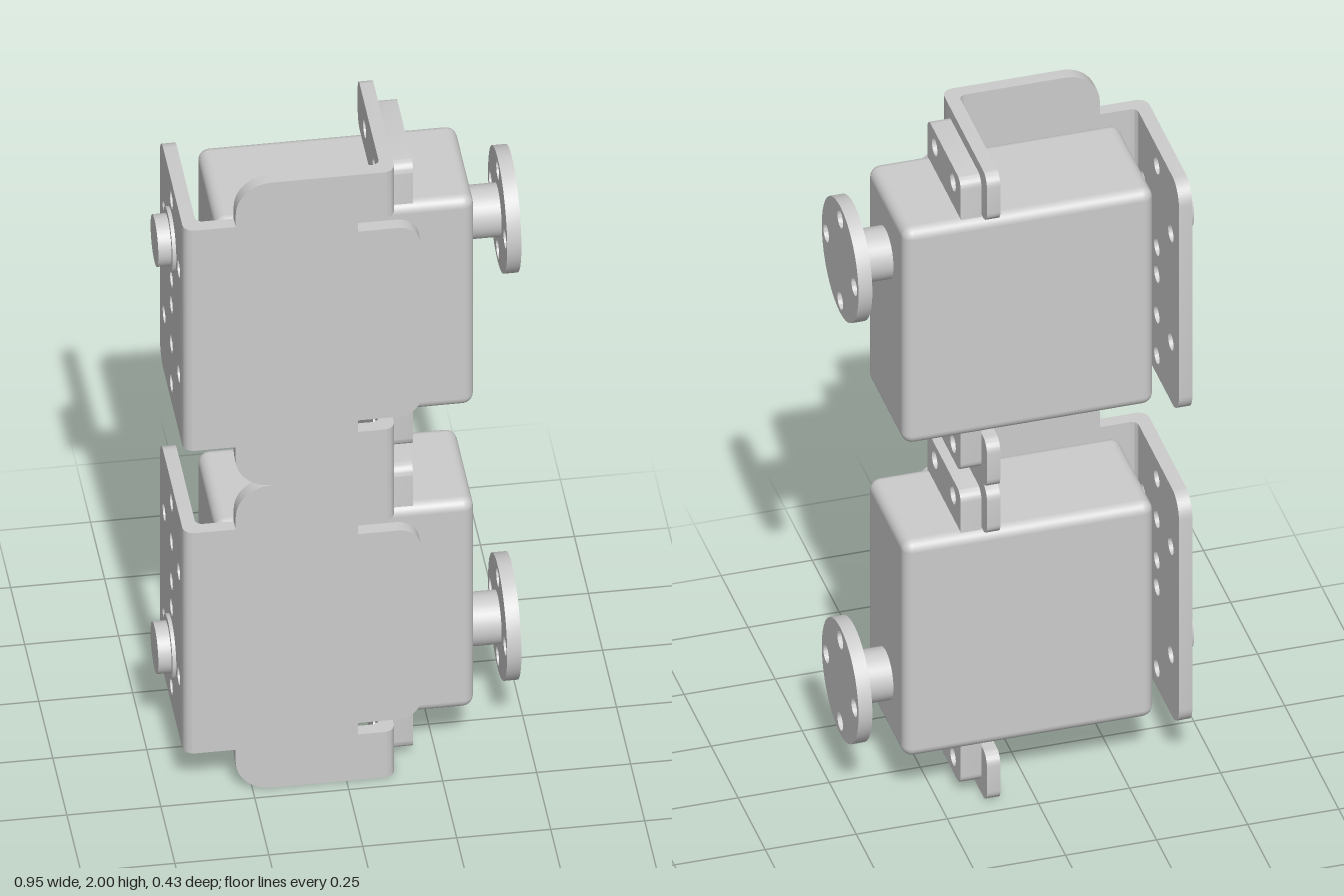
import * as THREE from 'three';
import { toCreasedNormals } from 'three/addons/utils/BufferGeometryUtils.js';
import { RoundedBoxGeometry } from 'three/addons/geometries/RoundedBoxGeometry.js';

const material = new THREE.MeshStandardMaterial({ color: 0xcccccc });
const T = 0.037;        // sheet thickness
const AXIS_Z = -0.01;   // centre line of the servo
const FOLD = 0.06;      // size of a folded corner

// Closed outline from [x, y, radius] corners; radius rounds the corner.
function outline(corners) {
  const shape = new THREE.Shape();
  const n = corners.length;
  corners.forEach(([x, y, r = 0], i) => {
    const p = new THREE.Vector2(x, y);
    const toward = (c, d) => p.clone().add(new THREE.Vector2(c[0] - x, c[1] - y).setLength(d));
    const prev = corners[(i + n - 1) % n], next = corners[(i + 1) % n];
    const a = toward(prev, r), b = toward(next, r);
    if (i === 0) shape.moveTo(a.x, a.y); else shape.lineTo(a.x, a.y);
    if (r > 0) {
      const c = toward(prev, r * 0.448), d = toward(next, r * 0.448);
      shape.bezierCurveTo(c.x, c.y, d.x, d.y, b.x, b.y);
    }
  });
  shape.closePath();
  return shape;
}

const rect = (x0, y0, x1, y1, left = 0, right = left) =>
  outline([[x0, y0, left], [x1, y0, right], [x1, y1, right], [x0, y1, left]]);

function drill(shape, holes, r) {
  for (const [x, y] of holes) shape.holes.push(new THREE.Path().absarc(x, y, r, 0, Math.PI * 2, true));
  return shape;
}

const extrude = (shape, depth) => toCreasedNormals(
  new THREE.ExtrudeGeometry(shape, { depth, bevelEnabled: false, curveSegments: 8 }), 0.6);

function add(group, name, geometry) {
  const mesh = new THREE.Mesh(geometry, material);
  mesh.name = name;
  group.add(mesh);
}

// Sheet facing sideways: shape is drawn in (-z, y) and thickened from x0 to x1.
const sideSheet = (shape, x0, x1) => extrude(shape, x1 - x0).rotateY(Math.PI / 2).translate(x0, 0, 0);

// Folded corner between front plate and side sheet; dir points from the corner into the plate.
function foldedCorner(x, dir, y0, y1) {
  const z = -0.212;
  const pts = [[FOLD, 0], [FOLD, T], [T, T, 0.02], [T, FOLD], [0, FOLD], [0, 0, 0.03]]
    .map(([u, v, r]) => [x + dir * u, z + v, r]);
  if (dir < 0) pts.reverse();
  return extrude(outline(pts), y1 - y0).rotateX(-Math.PI / 2).translate(0, y0, 0);
}

const disc = (r, x0, x1, y) => new THREE.CylinderGeometry(r, r, x1 - x0, 32)
  .rotateZ(Math.PI / 2).translate((x0 + x1) / 2, y, AXIS_Z);

// Four holes on a circle, in (-z, y)
const ringHoles = (y) => [[0, 0.13], [0, -0.13], [0.13, 0], [-0.13, 0]]
  .map(([u, v]) => [-AXIS_Z + u, y + v]);

// Unit centred on y = 0, with its output axis at axisY
function createUnit(axisY) {
  const unit = new THREE.Group();
  const bracket = new THREE.Group();
  const servo = new THREE.Group();
  bracket.name = 'bracket';
  servo.name = 'servo';
  unit.add(bracket, servo);

  // Front plate with notches and a tongue on the right-hand side
  const lx = -0.433 + FOLD, rx = 0.13 - FOLD;
  const lower = [[-0.295, -0.364], [-0.295, -0.5, 0.095], [rx, -0.5], [rx, -0.35],
    [0.03, -0.35], [0.03, -0.312], [0.198, -0.312, 0.06]];
  const upper = lower.map(([x, y, r]) => [x, -y, r]).reverse();
  add(bracket, 'frontPlate', extrude(
    outline([[lx, -0.364], ...lower, ...upper, [lx, 0.364]]), T).translate(0, 0, 0.175));

  // Large side plate with two bolt circles
  const sideStart = -0.212 + FOLD;
  const sidePlate = rect(sideStart, -0.364, 0.215, 0.364, 0, 0.06);
  drill(sidePlate, [...ringHoles(axisY), ...ringHoles(-axisY), [-AXIS_Z, -axisY]], 0.025);
  add(bracket, 'sidePlate', sideSheet(sidePlate, -0.433, -0.433 + T));
  add(bracket, 'sideFold', foldedCorner(-0.433, 1, -0.364, 0.364));

  // Mounting ears above and below the servo
  const screwsAt = (y) => [[-0.08, y], [0.09, y]];
  for (const s of [-1, 1]) {
    const y0 = s < 0 ? -0.5 : 0.35;
    const ear = drill(rect(sideStart, y0, 0.212, y0 + 0.15, 0, 0.035), screwsAt(s * 0.418), 0.026);
    add(bracket, 'mountingEar', sideSheet(ear, 0.13 - T, 0.13));
    add(bracket, 'earFold', foldedCorner(0.13, -1, y0, y0 + 0.15));
  }

  // Servo case and its screw flange
  add(servo, 'case', new RoundedBoxGeometry(0.688, 0.686, 0.34, 4, 0.03).translate(0.004, 0.002, AXIS_Z));
  const flange = rect(-0.147, -0.467, 0.161, 0.467, 0.03);
  drill(flange, [...screwsAt(-0.418), ...screwsAt(0.418)], 0.026);
  add(servo, 'screwFlange', sideSheet(flange, 0.13, 0.187));

  // Output shaft and horn
  add(servo, 'outputShaft', disc(0.072, 0.34, 0.437, axisY));
  const horn = new THREE.Shape().absarc(-AXIS_Z, axisY, 0.17, 0, Math.PI * 2);
  horn.curves[0].getPoints(); 
  drill(horn, ringHoles(axisY), 0.026);
  add(servo, 'horn', toCreasedNormals(new THREE.ExtrudeGeometry(horn,
    { depth: 0.038, bevelEnabled: false, curveSegments: 20 }), 0.6).rotateY(Math.PI / 2).translate(0.435, 0, 0));

  // Pivot pin and washer on the large side plate
  add(servo, 'pivotWasher', disc(0.088, -0.443, -0.432, axisY));
  add(servo, 'pivotPin', disc(0.07, -0.478, -0.396, axisY));
  return unit;
}

export function createModel() {
  const model = new THREE.Group();
  model.name = 'twinServoBracket';
  for (const s of [-1, 1]) {
    const unit = createUnit(s * 0.173);
    unit.name = s < 0 ? 'lowerUnit' : 'upperUnit';
    unit.position.y = 1 + s * 0.5;
    model.add(unit);
  }
  return model;
}
